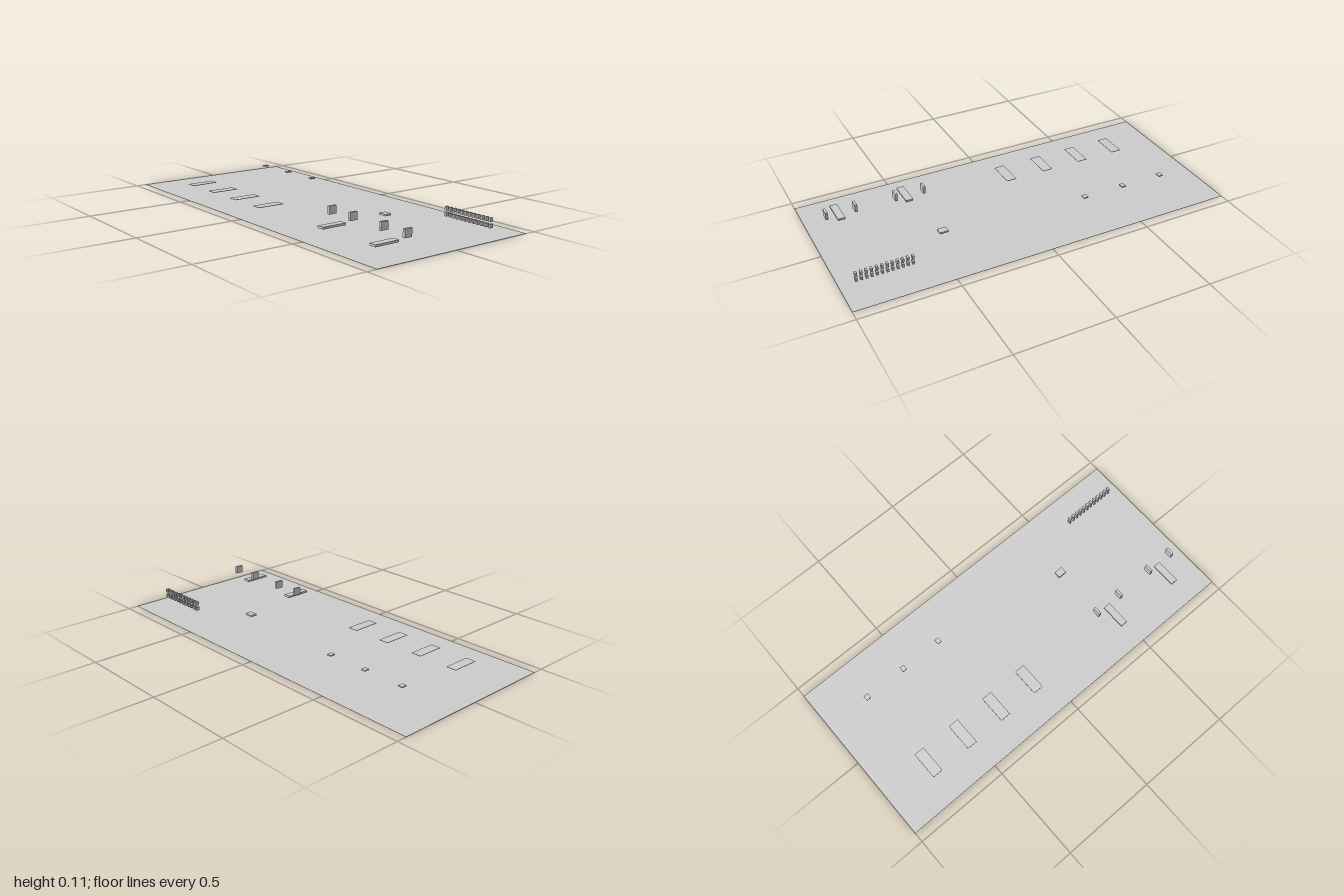
import * as THREE from 'three';

const material = new THREE.MeshStandardMaterial({ color: 0xcccccc });

export function createModel() {
  const model = new THREE.Group();

  // One box per x centre, sharing its width and its y and z ranges
  function addRow(name, xs, width, [y0, y1], [z0, z1]) {
    const geometry = new THREE.BoxGeometry(width, y1 - y0, z1 - z0);
    const group = new THREE.Group();
    group.name = name + 'Row';
    for (const x of xs) {
      const mesh = new THREE.Mesh(geometry, material);
      mesh.name = name;
      mesh.position.set(x, (y0 + y1) / 2, (z0 + z1) / 2);
      group.add(mesh);
    }
    model.add(group);
  }

  // Thin floor plate
  addRow('floorPlate', [0], 2, [0, 0.001], [-0.448, 0.448]);

  // Four flat panels on the left half of the front, three small blocks behind
  addRow('flatPanel', [-0.738, -0.521, -0.305, -0.088], 0.055, [0.023, 0.025], [0.154, 0.301]);
  addRow('smallBlock', [-0.765, -0.537, -0.313], 0.024, [0.066, 0.072], [-0.229, -0.201]);

  // Two long table tops, each flanked by a pair of upright backs
  addRow('tableTop', [0.473, 0.831], 0.038, [0.035, 0.046], [0.194, 0.327]);
  addRow('uprightBack', [0.396, 0.547, 0.757, 0.906], 0.013, [0.07, 0.11], [0.178, 0.22]);

  // Single low block
  addRow('lowBlock', [0.421], 0.046, [0.024, 0.033], [-0.123, -0.087]);

  // Two tiers of twelve little blocks near the back edge
  const tierXs = Array.from({ length: 12 }, (_, i) => 0.65 + i * 0.025);
  addRow('lowerTierBlock', tierXs, 0.011, [0.036, 0.055], [-0.299, -0.281]);
  addRow('upperTierBlock', tierXs, 0.011, [0.065, 0.084], [-0.299, -0.281]);

  return model;
}
